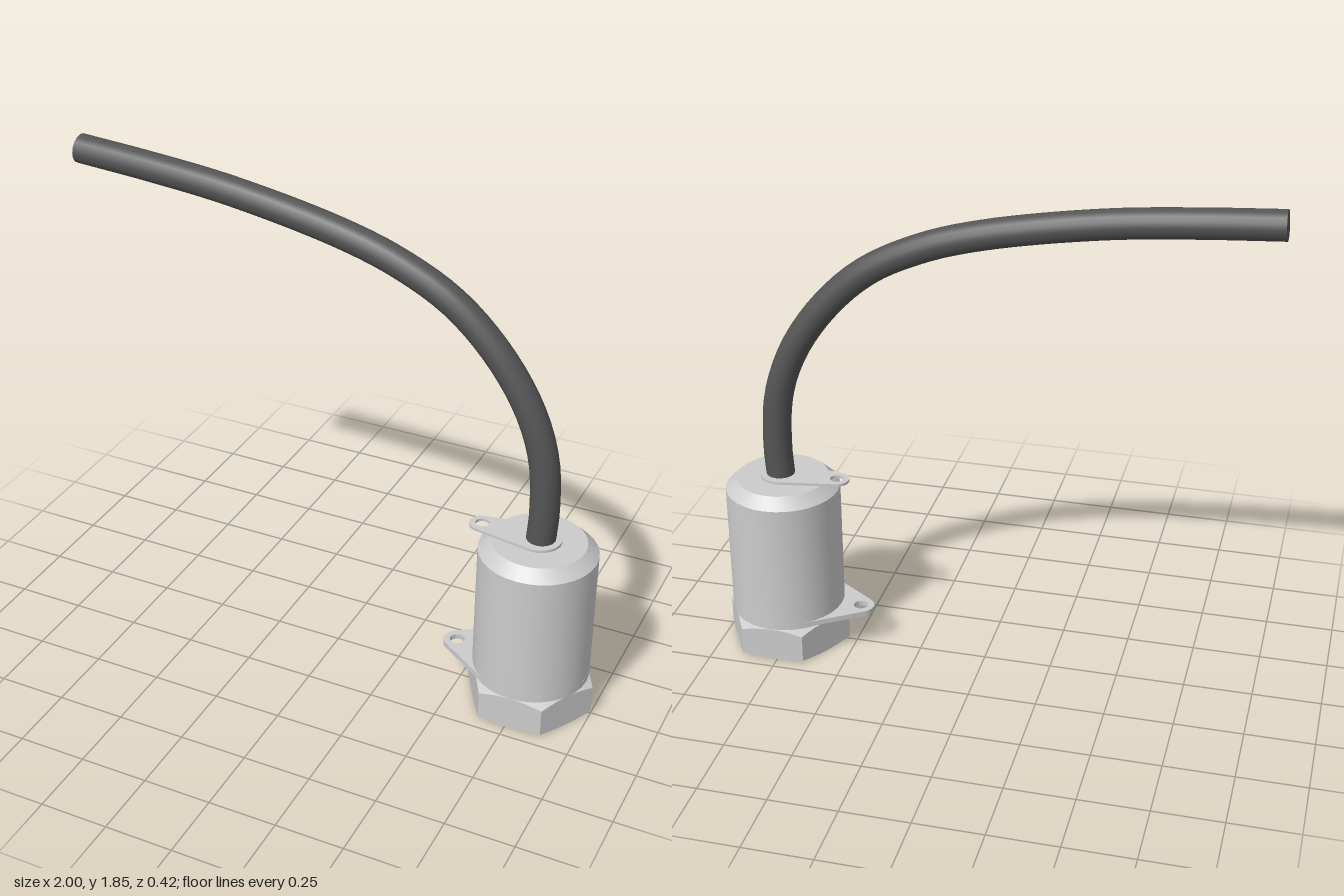
import * as THREE from 'three';
import { toCreasedNormals } from 'three/addons/utils/BufferGeometryUtils.js';

const AXIS_X = 0.765; // the housing stands off-centre, under the cable's bend
const metal = new THREE.MeshStandardMaterial({ color: 0xcccccc });
const rubber = new THREE.MeshStandardMaterial({ color: 0x555555 });

function lathe(points, segments) {
  return new THREE.LatheGeometry(points.map(([x, y]) => new THREE.Vector2(x, y)), segments);
}

// Chamfered hex nut: the rings at radius 1 are pulled onto a hexagon with corners on x,
// their edges following a cone so that each flat gets its arc
function hexNut(height, apothem) {
  const geo = lathe([[0, 0], [apothem - 0.004, 0], [1, 0.001], [1, height - 0.001], [apothem - 0.004, height], [0, height]], 48);
  const p = geo.attributes.position;
  const sector = Math.PI / 3;
  for (let i = 0; i < p.count; i++) {
    const x = p.getX(i), y = p.getY(i), z = p.getZ(i);
    if (Math.hypot(x, z) < 0.9) continue;
    const phi = Math.atan2(x, z) + 2 * Math.PI;
    const r = apothem / Math.cos(((phi + sector / 2) % sector) - sector / 2);
    const drop = 0.001 + (r - apothem) * 0.5;
    p.setXYZ(i, x * r, y < height / 2 ? drop * 0.6 : height - drop, z * r);
  }
  return toCreasedNormals(geo, 0.3);
}

// Flat teardrop lug: big round end on the axis, small eyelet end towards -x
function lug(bigR, smallR, reach, holeR, thickness) {
  const a = Math.acos((bigR - smallR) / reach);
  const shape = new THREE.Shape();
  shape.absarc(0, 0, bigR, a - Math.PI, Math.PI - a, false);
  shape.absarc(-reach, 0, smallR, Math.PI - a, Math.PI + a, false);
  const hole = new THREE.Path();
  hole.absarc(-reach, 0, holeR, 0, Math.PI * 2, true);
  shape.holes.push(hole);
  const geo = new THREE.ExtrudeGeometry(shape, { depth: thickness, bevelEnabled: false, curveSegments: 16 });
  geo.rotateX(-Math.PI / 2);
  return toCreasedNormals(geo, 0.6);
}

export function createModel() {
  const model = new THREE.Group();
  const add = (name, geometry, material, x = 0, y = 0) => {
    const mesh = new THREE.Mesh(geometry, material);
    mesh.name = name;
    mesh.position.set(x, y, 0);
    model.add(mesh);
    return mesh;
  };

  // Base nut and cylindrical housing with a chamfered top
  add('hexNut', hexNut(0.13, 0.2035), metal, AXIS_X);
  add('neck', new THREE.CylinderGeometry(0.19, 0.19, 0.02, 32), metal, AXIS_X, 0.13);
  const body = lathe([[0, 0.135], [0.21, 0.135], [0.21, 0.635], [0.168, 0.675], [0, 0.675]], 32);
  add('housing', toCreasedNormals(body, 0.5), metal, AXIS_X);

  // Lower and upper eyelet lugs
  add('lowerLug', lug(0.21, 0.05, 0.285, 0.027, 0.02), metal, AXIS_X, 0.138);
  add('upperLug', lug(0.08, 0.045, 0.21, 0.025, 0.01), metal, AXIS_X, 0.677);

  // Cable rising from the housing and bending over towards -x
  const path = new THREE.CatmullRomCurve3([
    [0.77, 0.67], [0.777, 0.8], [0.762, 1.0], [0.7, 1.18], [0.58, 1.36], [0.42, 1.51],
    [0.22, 1.613], [0, 1.68], [-0.4, 1.752], [-0.7, 1.782], [-0.997, 1.802],
  ].map(([x, y]) => new THREE.Vector3(x, y, 0)));
  add('cable', new THREE.TubeGeometry(path, 48, 0.052, 16), rubber);
  const cap = add('cableEnd', new THREE.CircleGeometry(0.052, 16), rubber);
  cap.position.copy(path.getPoint(1));
  cap.lookAt(path.getPoint(1).add(path.getTangent(1)));

  return model;
}
